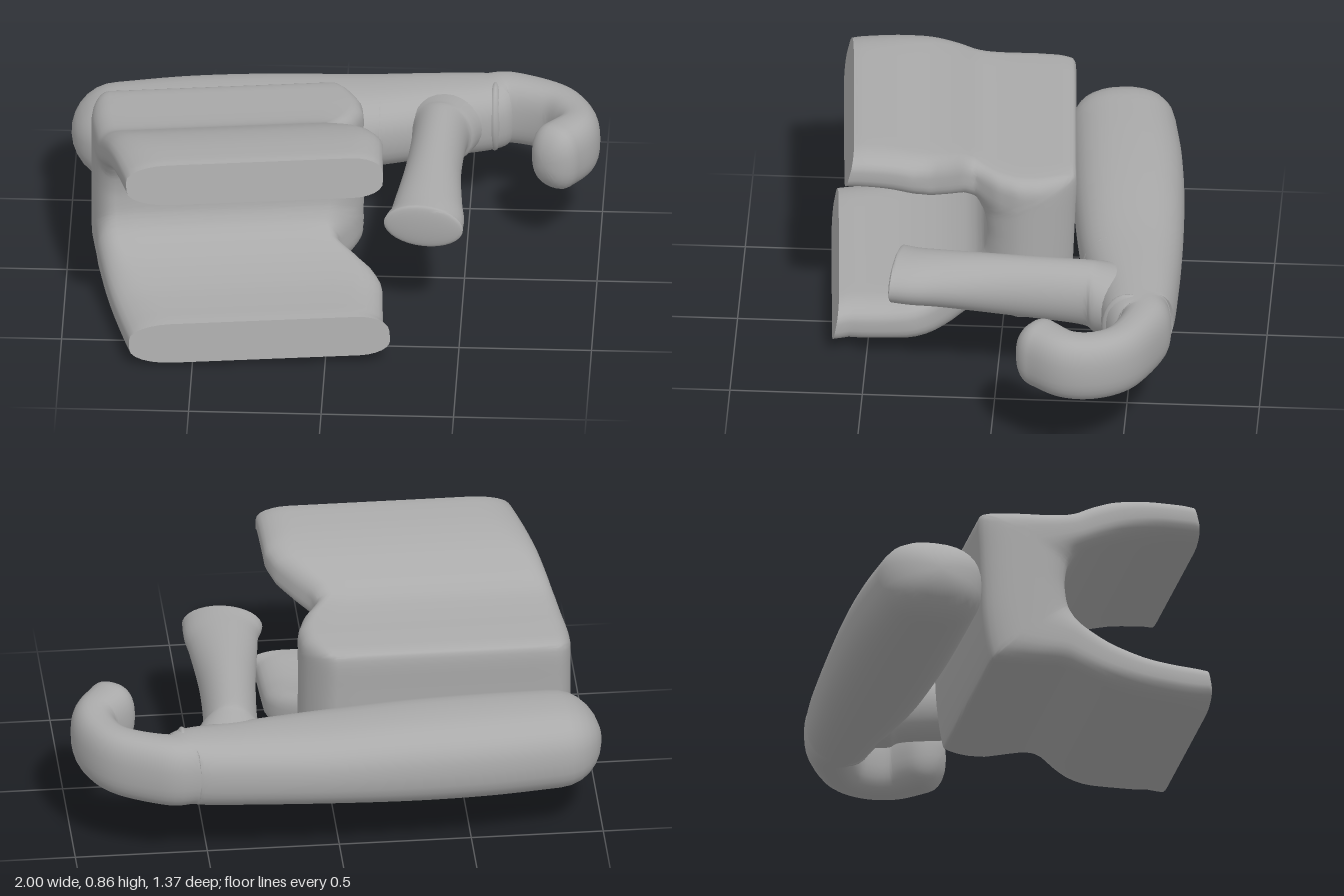
import * as THREE from 'three';
import { toCreasedNormals } from 'three/addons/utils/BufferGeometryUtils.js';

const grey = new THREE.MeshStandardMaterial({ color: 0xaaaaaa });
grey.name = 'plain grey';

// Skin a list of closed loops (each a list of Vector3) and close both ends.
function skin(name, loops, crease) {
  const n = loops[0].length, last = (loops.length - 1) * n;
  const pos = [], index = [];
  loops.forEach((loop, j) => loop.forEach((p, i) => {
    pos.push(p.x, p.y, p.z);
    const m = (i + 1) % n, k = j * n;
    if (j < loops.length - 1) index.push(k + i, k + m, k + n + m, k + i, k + n + m, k + n + i);
  }));
  for (let i = 1; i < n - 1; i++) index.push(0, i + 1, i, last, last + i, last + i + 1);
  const g = new THREE.BufferGeometry();
  g.setAttribute('position', new THREE.Float32BufferAttribute(pos, 3));
  g.setIndex(index);
  const mesh = new THREE.Mesh(toCreasedNormals(g, crease), grey);
  mesh.name = name;
  return mesh;
}

const spline = points => new THREE.CatmullRomCurve3(points, false, 'catmullrom');
const power = (v, e) => Math.sign(v) * Math.abs(v) ** e;

// Oval tube along level stations [x, y, z, half width, half height], with domed ends.
// Squareness 2 is an ellipse; higher is boxier.
function sweep(name, stations, startDome, endDome, squareness, steps = 48, sides = 32) {
  const path = spline(stations.map(s => new THREE.Vector3(s[0], s[1], s[2])));
  const size = spline(stations.map(s => new THREE.Vector3(s[3], s[4], 0)));
  const rows = [];
  const dome = 7;
  for (let i = dome; i > 0; i--) rows.push([0, i / dome * Math.PI / 2, -startDome]);
  for (let i = 0; i <= steps; i++) rows.push([i / steps, 0, 0]);
  for (let i = 1; i <= dome; i++) rows.push([1, i / dome * Math.PI / 2, endDome]);
  const up = new THREE.Vector3(0, 1, 0);
  const loops = rows.map(([t, angle, reach]) => {
    const tangent = path.getTangent(t).setY(0).normalize();
    const side = new THREE.Vector3().crossVectors(up, tangent);
    const c = path.getPoint(t).addScaledVector(tangent, reach * Math.sin(angle));
    const r = size.getPoint(t).multiplyScalar(Math.max(Math.cos(angle), 0.001));
    return Array.from({ length: sides }, (_, i) => {
      const a = i / sides * Math.PI * 2;
      return c.clone()
        .addScaledVector(side, r.x * power(Math.cos(a), 2 / squareness))
        .addScaledVector(up, r.y * power(Math.sin(a), 2 / squareness));
    });
  });
  return skin(name, loops, 0.7);
}

// Straight-line lookup in a list of [key, value].
function lookup(table, key) {
  if (key <= table[0][0]) return table[0][1];
  for (let i = 1; i < table.length; i++) {
    const [k0, v0] = table[i - 1], [k1, v1] = table[i];
    if (key <= k1) return v0 + (v1 - v0) * (key - k0) / (k1 - k0);
  }
  return table[table.length - 1][1];
}

// Forked clamp: a round-edged slab bent from the upper jaw, round the back, to the lower jaw.
function makeClamp() {
  // Stations: outer z, y and inner z, y
  const stations = [
    [0.578, 0.848, 0.615, 0.695], [0.53, 0.85, 0.55, 0.692], [0.40, 0.838, 0.44, 0.682], [0.28, 0.81, 0.33, 0.658],
    [0.18, 0.765, 0.23, 0.623], [0.10, 0.722, 0.15, 0.585], [0.0, 0.705, 0.115, 0.56], [-0.14, 0.695, 0.10, 0.535],
    [-0.235, 0.685, 0.09, 0.515], [-0.262, 0.655, 0.083, 0.495], [-0.258, 0.52, 0.077, 0.46], [-0.253, 0.40, 0.075, 0.42],
    [-0.245, 0.25, 0.08, 0.375], [-0.222, 0.105, 0.085, 0.35], [-0.195, 0.078, 0.09, 0.335], [-0.08, 0.077, 0.10, 0.315],
    [0.05, 0.085, 0.12, 0.288], [0.13, 0.067, 0.16, 0.258], [0.24, 0.035, 0.25, 0.22], [0.38, 0.016, 0.38, 0.192],
    [0.52, 0.012, 0.50, 0.184], [0.60, 0.016, 0.59, 0.183], [0.662, 0.026, 0.635, 0.18],
  ];
  const leftEdge = [[-0.25, -0.92], [-0.1, -0.91], [0.1, -0.88], [0.3, -0.83], [0.6, -0.75], [0.66, -0.735]];
  const rightEdge = [[-0.27, 0.04], [-0.2, 0.075], [-0.12, 0.11], [-0.04, 0.118], [0.04, 0.09], [0.12, 0.03],
    [0.16, 0.045], [0.22, 0.11], [0.29, 0.175], [0.36, 0.205], [0.6, 0.215], [0.66, 0.25]];
  const outer = spline(stations.map(s => new THREE.Vector3(0, s[1], s[0])));
  const inner = spline(stations.map(s => new THREE.Vector3(0, s[3], s[2])));
  // Loop of [s, v]: s runs across x, v from the outer (-1) to the inner (1) face
  const ring = [], across = 10, round = 14;
  for (let i = 1; i < across; i++) ring.push([i / across, -1]);
  for (let i = 0; i <= round; i++) ring.push([1, -Math.cos(i / round * Math.PI)]);
  for (let i = 1; i < across; i++) ring.push([1 - i / across, 1]);
  for (let i = 0; i <= round; i++) ring.push([0, Math.cos(i / round * Math.PI)]);
  const rows = (stations.length - 1) * 4;
  const loops = Array.from({ length: rows + 1 }, (_, j) => {
    const t = j / rows, a = outer.getPoint(t), b = inner.getPoint(t);
    // The jaws have softer ends than the back
    const jaw = THREE.MathUtils.smoothstep(a.z, 0.1, 0.5);
    return ring.map(([s, v]) => {
      const p = a.clone().lerp(b, (v + 1) / 2);
      const w = Math.max(0, (Math.abs(v) - 0.25) / 0.75);
      const inset = 1 - Math.sqrt(1 - w * w);
      const x0 = lookup(leftEdge, p.z) + inset * (0.07 + 0.09 * jaw);
      const x1 = lookup(rightEdge, p.z) - inset * (0.06 + 0.06 * jaw);
      p.x = THREE.MathUtils.lerp(x0, x1, s);
      p.y += 0.035 * (p.x + 0.3);
      p.z -= 0.06 * (p.x + 0.3);
      return p;
    });
  });
  return skin('forkedClamp', loops, 0.8);
}

export function createModel() {
  const model = new THREE.Group();
  model.name = 'hookedClamp';

  // Thick bar that narrows into a curled hook
  model.add(sweep('hookedBar', [
    [-0.82, 0.365, -0.41, 0.20, 0.165], [-0.55, 0.372, -0.44, 0.21, 0.17], [-0.25, 0.378, -0.465, 0.208, 0.167],
    [0.10, 0.385, -0.495, 0.19, 0.153], [0.38, 0.397, -0.528, 0.157, 0.145], [0.56, 0.405, -0.546, 0.133, 0.14],
    [0.65, 0.41, -0.572, 0.096, 0.138], [0.82, 0.415, -0.502, 0.084, 0.135], [0.895, 0.42, -0.40, 0.085, 0.133],
    [0.907, 0.43, -0.29, 0.09, 0.133], [0.84, 0.435, -0.19, 0.098, 0.133],
  ], 0.18, 0.085, 2.5, 80));

  model.add(makeClamp());

  // Flared peg with a slanted, flat oval tip
  model.add(sweep('peg', [
    [0.41, 0.405, -0.50, 0.18, 0.12], [0.40, 0.41, -0.39, 0.135, 0.135], [0.394, 0.425, -0.32, 0.105, 0.13],
    [0.38, 0.437, -0.05, 0.106, 0.118], [0.372, 0.45, 0.20, 0.128, 0.10], [0.37, 0.455, 0.31, 0.142, 0.092],
    [0.36, 0.458, 0.375, 0.152, 0.088],
  ], 0.02, 0.015, 2));

  // Small ridges on the bar either side of the peg
  for (const [x, y, z, rx, rz] of [[0.165, 0.388, -0.43, 0.04, 0.12], [0.595, 0.408, -0.51, 0.035, 0.10]]) {
    const ridge = new THREE.Mesh(new THREE.SphereGeometry(1, 20, 14), grey);
    ridge.name = 'ridge';
    ridge.position.set(x, y, z);
    ridge.scale.set(rx, 0.14, rz);
    model.add(ridge);
  }
  return model;
}
